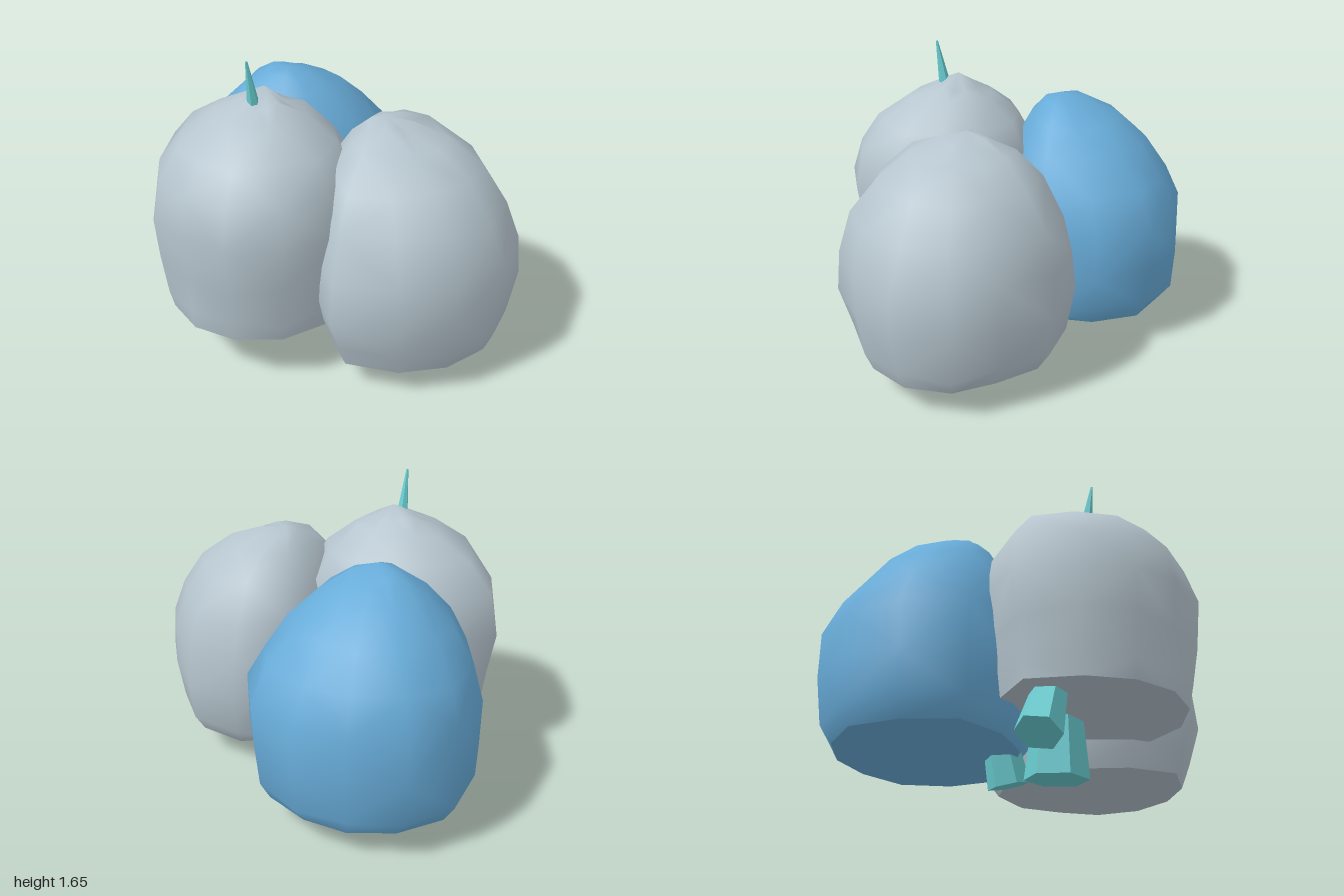
import * as THREE from 'three';

const mat = (name, color, opts = {}) => Object.assign(new THREE.MeshStandardMaterial({ color, ...opts }), { name });

// Small seeded jitter in -1..1
function seeded(seed) {
  let s = seed;
  return () => {
    s = (s * 16807) % 2147483647;
    return (s / 2147483647) * 2 - 1;
  };
}

// Lumpy crown: a plan outline (radius every 30 degrees, from +x towards +z)
// scaled along a vertical profile of [y, scale], leaning to a peak.
function crown(name, material, { center, plan, profile, peak, seed }) {
  const rand = seeded(seed);
  const n = plan.length;
  const pos = [], index = [];
  const widest = profile.findIndex(([, s]) => s === 1);
  const point = (i, j) => pos.slice((i * n + j) * 3, (i * n + j) * 3 + 3);
  profile.forEach(([y, s], i) => {
    const lean = i > widest ? 1 - s : 0;
    const cx = center[0] + (peak[0] - center[0]) * lean;
    const cz = center[1] + (peak[2] - center[1]) * lean;
    plan.forEach((r, j) => {
      const a = (j / n) * Math.PI * 2;
      const q = r * s * (1 + 0.025 * rand());
      const dy = i > 0 ? 0.02 * rand() : 0;
      pos.push(cx + q * Math.cos(a), y + dy, cz + q * Math.sin(a));
    });
  });
  for (let i = 0; i < profile.length - 1; i++) {
    for (let j = 0; j < n; j++) {
      const k = (j + 1) % n;
      const a = i * n + j, b = i * n + k, c = a + n, d = b + n;
      if ((i + j) % 2) index.push(a, c, b, b, c, d);
      else index.push(a, c, d, a, d, b);
    }
  }
  // peak
  const top = (profile.length - 1) * n, apex = pos.length / 3;
  pos.push(...peak);
  for (let j = 0; j < n; j++) index.push(apex, top + (j + 1) % n, top + j);
  // flat underside with its own vertices, for a sharp rim
  const base = pos.length / 3;
  for (let j = 0; j < n; j++) pos.push(...point(0, j));
  pos.push(center[0], profile[0][0], center[1]);
  for (let j = 0; j < n; j++) index.push(base + n, base + j, base + (j + 1) % n);

  const geo = new THREE.BufferGeometry();
  geo.setAttribute('position', new THREE.Float32BufferAttribute(pos, 3));
  geo.setIndex(index);
  geo.computeVertexNormals();
  const mesh = new THREE.Mesh(geo, material);
  mesh.name = name;
  return mesh;
}

// Faceted tapered limb between two points
function limb(name, material, from, to, r0, r1, sides) {
  const a = new THREE.Vector3(...from), b = new THREE.Vector3(...to);
  const dir = b.clone().sub(a);
  const mesh = new THREE.Mesh(new THREE.CylinderGeometry(r1, r0, dir.length(), sides), material);
  mesh.position.copy(a).add(b).multiplyScalar(0.5);
  mesh.quaternion.setFromUnitVectors(new THREE.Vector3(0, 1, 0), dir.normalize());
  mesh.name = name;
  return mesh;
}

export function createModel() {
  const grey = mat('greyFoliage', 0xb6c5ce);
  const blue = mat('blueFoliage', 0x68acd9);
  const teal = mat('tealBark', 0x68ccd0, { flatShading: true });
  const tree = new THREE.Group();
  tree.name = 'tree';

  // Foliage crowns
  tree.add(
    crown('frontRightCrown', grey, {
      center: [-0.42, 0.42], peak: [-0.35, 1.49, 0.33], seed: 11,
      plan: [0.58, 0.58, 0.56, 0.54, 0.51, 0.52, 0.54, 0.63, 0.57, 0.56, 0.57, 0.58],
      profile: [[0.31, 0.88], [0.42, 0.92], [0.63, 0.95], [0.87, 1], [1.08, 0.92],
        [1.24, 0.74], [1.37, 0.43], [1.42, 0.2]],
    }),
    crown('leftCrown', grey, {
      center: [0.42, 0.33], peak: [0.25, 1.34, 0.26], seed: 29,
      plan: [0.58, 0.57, 0.57, 0.61, 0.66, 0.57, 0.52, 0.52, 0.6, 0.645, 0.61, 0.54],
      profile: [[0.17, 0.84], [0.28, 0.93], [0.5, 1], [0.73, 0.98], [0.94, 0.88],
        [1.12, 0.7], [1.25, 0.45], [1.31, 0.2]],
    }),
    crown('backCrown', blue, {
      center: [-0.34, -0.43], peak: [-0.36, 1.37, -0.25], seed: 53,
      plan: [0.63, 0.62, 0.56, 0.55, 0.58, 0.63, 0.6, 0.6, 0.58, 0.55, 0.56, 0.61],
      profile: [[0.17, 0.86], [0.27, 0.97], [0.5, 1], [0.74, 0.99], [0.93, 0.88],
        [1.1, 0.69], [1.24, 0.46], [1.33, 0.22]],
    }),
  );

  // Trunk and lower branches, and the twig on top
  tree.add(
    limb('trunk', teal, [-0.31, 0.02, 0.22], [-0.35, 0.6, 0.24], 0.165, 0.1, 6),
    limb('backTrunk', teal, [-0.18, 0.04, -0.04], [-0.28, 0.5, -0.12], 0.11, 0.07, 6),
    limb('sideBranch', teal, [-0.82, 0.08, 0.2], [-0.62, 0.5, 0.26], 0.115, 0.07, 6),
    limb('topTwig', teal, [-0.385, 1.35, 0.4], [-0.403, 1.66, 0.45], 0.04, 0.006, 6),
  );
  return tree;
}
